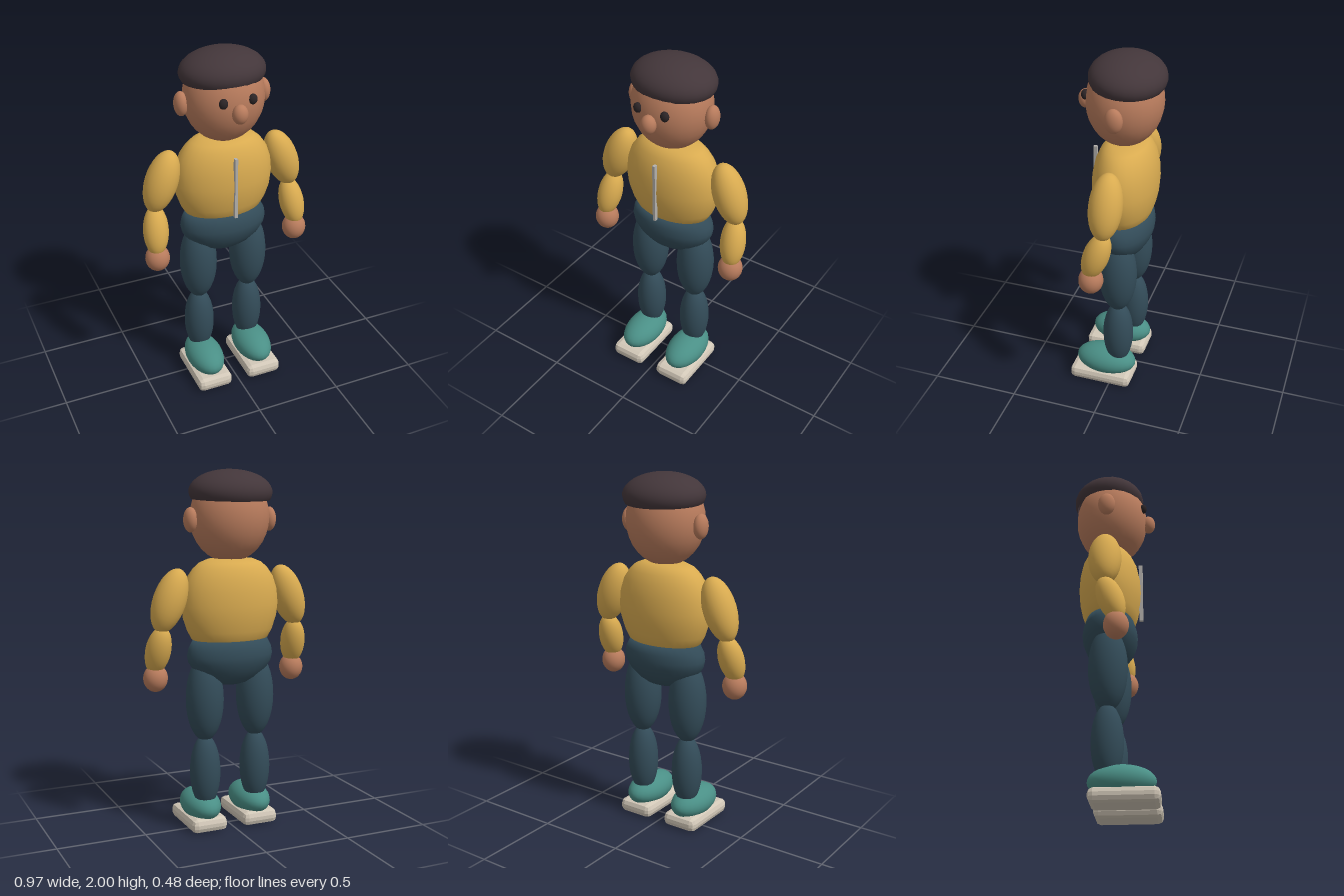
import * as THREE from 'three';
import { RoundedBoxGeometry } from 'three/addons/geometries/RoundedBoxGeometry.js';

const paint = (name, color) => {
  const m = new THREE.MeshStandardMaterial({ color });
  m.name = name;
  return m;
};

export function createModel() {
  const skin = paint('skin', 0xb97c5d);
  const hairBrown = paint('dark hair', 0x43363a);
  const eyeDark = paint('eye', 0x2b2426);
  const shirt = paint('yellow shirt', 0xd9ab50);
  const navy = paint('navy trousers', 0x334c59);
  const teal = paint('teal shoe', 0x4a8f86);
  const cream = paint('cream sole', 0xd2c8b8);
  const metal = paint('zip metal', 0xb4b1ac);
  hairBrown.side = THREE.DoubleSide;

  const model = new THREE.Group();
  model.name = 'figure';

  const add = (name, geometry, material, pos, parent = model) => {
    const mesh = new THREE.Mesh(geometry, material);
    mesh.name = name;
    mesh.position.set(...pos);
    parent.add(mesh);
    return mesh;
  };
  // Ellipsoid with radii r
  const blob = (name, material, pos, r, parent) =>
    add(name, new THREE.SphereGeometry(1, 24, 16).scale(...r), material, pos, parent);
  // Ellipsoid stretched between two points
  const limb = (name, material, a, b, radius, parent) => {
    const p = new THREE.Vector3(...a), q = new THREE.Vector3(...b);
    const mid = p.clone().lerp(q, 0.5), dir = q.clone().sub(p);
    const mesh = blob(name, material, mid.toArray(), [radius, dir.length() / 2, radius], parent);
    mesh.quaternion.setFromUnitVectors(new THREE.Vector3(0, 1, 0), dir.normalize());
    return mesh;
  };
  // Turned body section, flattened in depth
  const turned = (name, material, profile, depth) => {
    const points = profile.map(([x, y]) => new THREE.Vector2(x, y));
    return add(name, new THREE.LatheGeometry(points, 28).scale(1, 1, depth), material, [0, 0, -0.031]);
  };

  // Body
  turned('torso', shirt, [
    [0, 1.07], [0.2, 1.07], [0.223, 1.085], [0.248, 1.13], [0.272, 1.2], [0.28, 1.27], [0.273, 1.35],
    [0.25, 1.42], [0.215, 1.47], [0.18, 1.5], [0.13, 1.52], [0, 1.527],
  ], 0.625);
  turned('hips', navy, [
    [0, 0.82], [0.06, 0.824], [0.115, 0.838], [0.17, 0.868], [0.215, 0.91], [0.243, 0.955],
    [0.25, 0.99], [0.243, 1.03], [0.217, 1.08], [0, 1.082],
  ], 0.615);
  add('zip', new THREE.BoxGeometry(0.016, 0.355, 0.022), metal, [0, 1.273, 0.144]);

  // Head
  blob('head', skin, [0, 1.745, -0.022], [0.22, 0.245, 0.205]);
  blob('nose', skin, [0, 1.725, 0.193], [0.042, 0.053, 0.04]);
  const cap = new THREE.SphereGeometry(1, 24, 12, 0, Math.PI * 2, 0, 1.92).scale(0.232, 0.12, 0.203);
  add('hair', cap, hairBrown, [0, 1.88, -0.038]).rotation.x = -0.06;

  // Mirrored parts
  for (const s of [-1, 1]) {
    const side = s > 0 ? 'left' : 'right';
    blob(side + 'Ear', skin, [s * 0.233, 1.732, -0.034], [0.037, 0.067, 0.049]);
    blob(side + 'Eye', eyeDark, [s * 0.081, 1.785, 0.168], [0.024, 0.028, 0.02]);

    const arm = new THREE.Group();
    arm.name = side + 'Arm';
    model.add(arm);
    limb('upperArm', shirt, [s * 0.294, 1.474, -0.034], [s * 0.416, 1.136, -0.028], 0.09, arm);
    limb('forearm', shirt, [s * 0.396, 1.165, -0.04], [s * 0.424, 0.9, 0.05], 0.07, arm);
    blob('hand', skin, [s * 0.417, 0.876, 0.034], [0.068, 0.076, 0.067], arm);

    const leg = new THREE.Group();
    leg.name = side + 'Leg';
    model.add(leg);
    blob('thigh', navy, [s * 0.153, 0.75, -0.03], [0.106, 0.24, 0.107], leg);
    blob('shin', navy, [s * 0.153, 0.335, -0.032], [0.086, 0.21, 0.087], leg);
    blob('shoe', teal, [s * 0.154, 0.124, 0.042], [0.105, 0.088, 0.178], leg);
    // Bevelled sole with flat facets
    const sole = new RoundedBoxGeometry(0.21, 0.08, 0.367, 1, 0.03);
    sole.computeVertexNormals();
    add('sole', sole, cream, [s * 0.155, 0.04, 0.057], leg);
  }
  return model;
}
